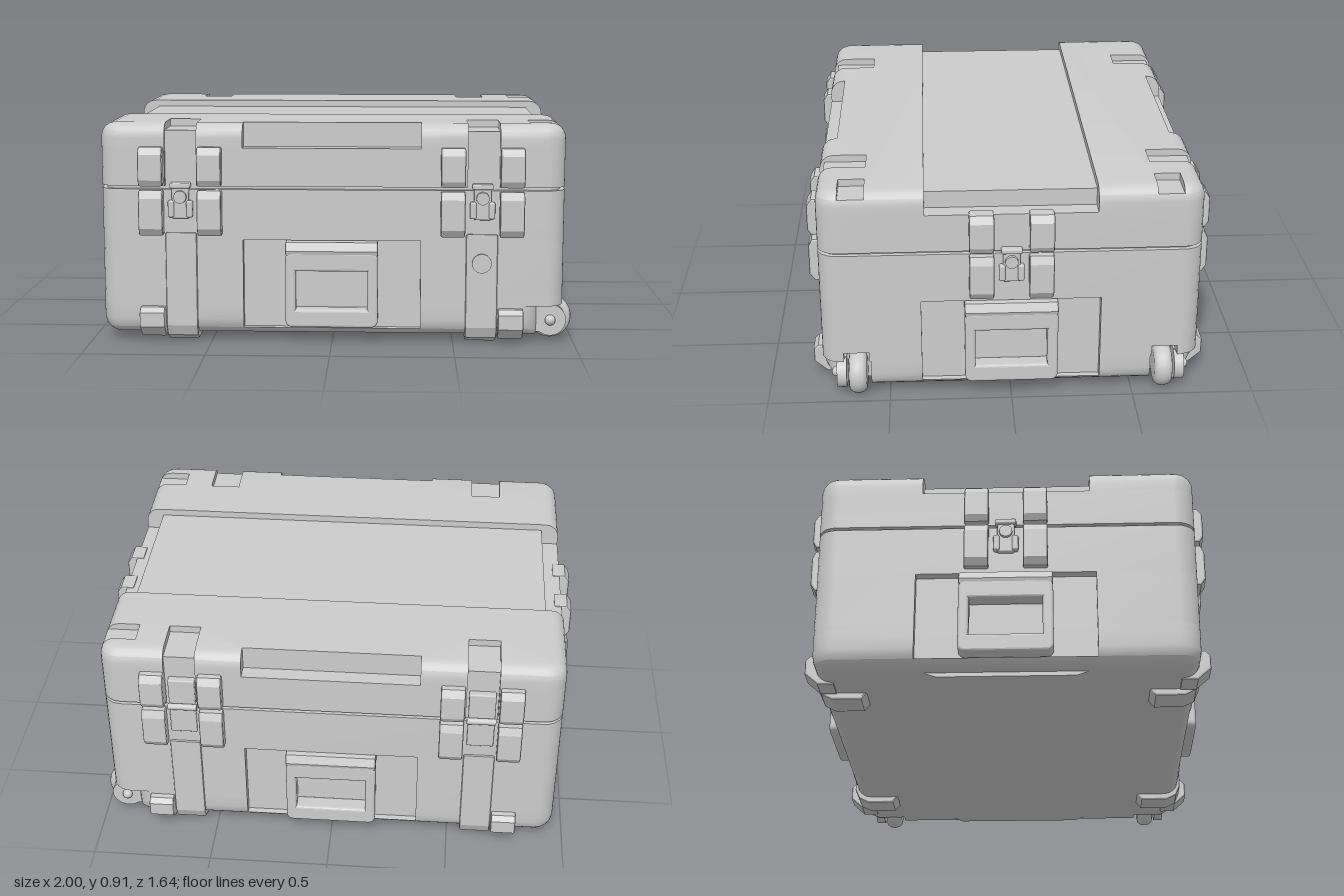
import * as THREE from 'three';
import { toCreasedNormals } from 'three/addons/utils/BufferGeometryUtils.js';
import { RoundedBoxGeometry } from 'three/addons/geometries/RoundedBoxGeometry.js';

const X = 0.955, Z = 0.775, R = 0.08; // half length, half width, plan corner radius
const mat = new THREE.MeshStandardMaterial({ color: 0xcccccc });

function add(parent, name, geo, x = 0, y = 0, z = 0) {
  const m = new THREE.Mesh(geo, mat);
  m.name = name;
  m.position.set(x, y, z);
  parent.add(m);
  return m;
}

// A rectangular step in one edge of an outline, from a to b, reaching depth d
const notch = (a, b, d) => [[a], [a, d], [b, d], [b]];

// Plan outline [x, z] of a rounded rectangle with notched edges, counterclockwise from above
function outline(x0, x1, z0, z1, rFront, rBack, e = {}) {
  const pts = [];
  const corner = (x, z, r, start) => {
    const n = r ? 6 : 0;
    for (let i = 0; i <= n; i++) {
      const a = start + (n ? i / n : 0) * Math.PI / 2;
      pts.push([x + r * Math.cos(a), z - r * Math.sin(a)]);
    }
  };
  const edge = (list = [], reverse, fn) => (reverse ? [...list].reverse() : list).forEach((p) => pts.push(fn(p)));
  edge(e.front, false, ([t, d]) => [t, d ?? z1]);
  corner(x1 - rFront, z1 - rFront, rFront, -Math.PI / 2);
  edge(e.right, true, ([t, d]) => [d ?? x1, t]);
  corner(x1 - rBack, z0 + rBack, rBack, 0);
  edge(e.back, true, ([t, d]) => [t, d === undefined ? z0 : -d]);
  corner(x0 + rBack, z0 + rBack, rBack, Math.PI / 2);
  edge(e.left, false, ([t, d]) => [d === undefined ? x0 : -d, t]);
  corner(x0 + rFront, z1 - rFront, rFront, Math.PI);
  return pts;
}

// Closed solid through outlines stacked at the given heights
function loft(ys, outlineAt) {
  const rings = ys.map((y) => outlineAt(y).map(([x, z]) => new THREE.Vector3(x, y, z)));
  const pos = [], tri = (...v) => v.forEach((p) => pos.push(p.x, p.y, p.z));
  for (let i = 0; i + 1 < rings.length; i++) {
    const lo = rings[i], hi = rings[i + 1];
    lo.forEach((a, j) => {
      const k = (j + 1) % lo.length;
      tri(a, lo[k], hi[k]);
      tri(a, hi[k], hi[j]);
    });
  }
  const cap = (ring, up) => THREE.ShapeUtils.triangulateShape(ring.map((p) => new THREE.Vector2(p.x, -p.z)), [])
    .forEach(([a, b, c]) => up ? tri(ring[a], ring[b], ring[c]) : tri(ring[c], ring[b], ring[a]));
  cap(rings[0], false);
  cap(rings.at(-1), true);
  const g = new THREE.BufferGeometry();
  g.setAttribute('position', new THREE.Float32BufferAttribute(pos, 3));
  return toCreasedNormals(g, 0.6);
}

// Extrusion of a [z, y] profile along x, centred on x = 0
function prism(profile, width, bevel = 0.008) {
  const s = new THREE.Shape(profile.map(([z, y]) => new THREE.Vector2(z, y)));
  const g = new THREE.ExtrudeGeometry(s, {
    depth: width - 2 * bevel, bevelEnabled: bevel > 0, bevelSize: bevel, bevelOffset: -bevel,
    bevelThickness: bevel, bevelSegments: 2,
  });
  return g.translate(0, 0, bevel - width / 2).rotateY(-Math.PI / 2);
}

// Edge rounding as an inset by height
const round = (t, r) => r * (1 - Math.sqrt(Math.max(0, 1 - Math.min(1, Math.max(0, t)) ** 2)));
const baseInset = (y) => round((0.1 - y) / 0.07, 0.068);
const lidInset = (y) => round((y - 0.85) / 0.06, 0.06);

function makeBase(g) {
  const grip = notch(-0.365, 0.365, Z - 0.04), sideGrip = notch(-0.365, 0.365, X - 0.04);
  const all = { front: grip, back: grip, left: sideGrip, right: sideGrip };
  const wheel = (s) => s > 0 ? notch(0.58, 0.685, 0.82) : notch(-0.685, -0.58, 0.82);
  const ring = (y, edges, x1 = X) => {
    const i = baseInset(y);
    return outline(-X + i, Math.min(x1, X - i), -Z + i, Z - i, R - i, R - i, edges);
  };
  // Lower right corners are cut away for the wheels
  const bump = (y, inner) => {
    const b = X - baseInset(y);
    return [[-0.575], [-0.575, b], ...inner.map(([t, d]) => [t, d ?? b]), [0.575, b], [0.575]];
  };
  add(g, 'baseFloor', loft([0.03, 0.034, 0.04, 0.05, 0.06], (y) => ring(y, { right: bump(y, []) }, 0.85)));
  add(g, 'baseLower', loft([0.06, 0.075, 0.1, 0.16], (y) => ring(y, { ...all, right: bump(y, sideGrip) }, 0.85)));
  add(g, 'baseWheelBand', loft([0.16, 0.2], (y) => ring(y, { ...all, right: [...wheel(-1), ...sideGrip, ...wheel(1)] })));
  add(g, 'baseMiddle', loft([0.2, 0.43], (y) => ring(y, all)));
  add(g, 'baseRim', loft([0.43, 0.64], (y) => ring(y)));
  add(g, 'seal', loft([0.62, 0.67], () => outline(-X + 0.02, X - 0.02, -Z + 0.02, Z - 0.02, 0.06, 0.06)));
  // Raised plate along the underside
  add(g, 'bottomPlate', prism([[-0.36, 0.04], [-0.28, 0.012], [0.28, 0.012], [0.36, 0.04]], 1.74, 0));
}

function makeLid(g) {
  const grooves = (d, mid) => [...notch(-0.685, -0.555, d), ...mid, ...notch(0.555, 0.685, d)];
  const label = notch(-0.365, 0.365, 0.71), channel = notch(-0.345, 0.345, 0.878);
  const ring = (y, edges) => {
    const i = lidInset(y);
    return outline(-X + i, X - i, -Z + i, Z - i, R - i, R - i, edges);
  };
  const low = grooves(0.755, []), high = grooves(0.755, label);
  add(g, 'lidWall', loft([0.652, 0.81], (y) => ring(y, { front: low, back: low })));
  add(g, 'lidShoulder', loft([0.81, 0.85, 0.865, 0.88],
    (y) => ring(y, { front: high, back: high, left: channel, right: channel })));
  // Raised stacking strips with strap grooves and wheel pockets
  for (const s of [1, -1]) {
    add(g, 'stackingStrip', loft([0.88, 0.89, 0.9, 0.906, 0.91], (y) => {
      const i = lidInset(y);
      const p = outline(-X + i, X - i, 0.345, Z - i, R - i, 0,
        { front: grooves(0.58, label), right: notch(0.58, 0.685, 0.81) });
      return s > 0 ? p : p.map(([x, z]) => [x, -z]).reverse();
    }));
  }
}

// Clasp or hinge between two pairs of guard ribs; local z = 0 is the case wall
function makeClasp(hinge) {
  const g = new THREE.Group();
  g.name = hinge ? 'hinge' : 'latch';
  for (const x of [-0.12, 0.12]) {
    add(g, 'lidRib', prism([[-0.03, 0.655], [0.03, 0.655], [0.045, 0.68], [0.045, 0.785], [0.025, 0.815], [-0.03, 0.815]], 0.1), x);
    add(g, 'baseRib', prism([[-0.03, 0.45], [0.025, 0.45], [0.045, 0.48], [0.045, 0.605], [0.03, 0.638], [-0.03, 0.638]], 0.1), x);
  }
  if (hinge) {
    add(g, 'hingeLeafUpper', new RoundedBoxGeometry(0.11, 0.12, 0.035, 2, 0.006), 0, 0.72, -0.008);
    add(g, 'hingeLeafLower', new RoundedBoxGeometry(0.11, 0.12, 0.035, 2, 0.006), 0, 0.575, -0.008);
    add(g, 'hingePin', new THREE.CylinderGeometry(0.014, 0.014, 0.12, 16).rotateZ(Math.PI / 2), 0, 0.646, 0.008);
  } else {
    add(g, 'latchPlate', new RoundedBoxGeometry(0.07, 0.14, 0.03, 2, 0.006), 0, 0.59, 0.002);
    for (const x of [-0.038, 0.038]) add(g, 'latchWing', new RoundedBoxGeometry(0.026, 0.07, 0.03, 2, 0.008), x, 0.56, 0.01);
    add(g, 'latchKnob', new THREE.CylinderGeometry(0.026, 0.028, 0.03, 24).rotateX(Math.PI / 2), 0, 0.61, 0.015);
    add(g, 'latchHook', new RoundedBoxGeometry(0.085, 0.022, 0.04, 2, 0.006), 0, 0.657, 0.008);
  }
  return g;
}

// Folding carry handle; local z = 0 is the case wall
function makeHandle() {
  const g = new THREE.Group();
  g.name = 'carryHandle';
  const rect = (C, w, y0, y1, r) => {
    const s = new C();
    s.moveTo(-w + r, y0).lineTo(w - r, y0).quadraticCurveTo(w, y0, w, y0 + r).lineTo(w, y1 - r)
      .quadraticCurveTo(w, y1, w - r, y1).lineTo(-w + r, y1).quadraticCurveTo(-w, y1, -w, y1 - r)
      .lineTo(-w, y0 + r).quadraticCurveTo(-w, y0, -w + r, y0);
    return s;
  };
  const shape = rect(THREE.Shape, 0.18, 0.08, 0.375, 0.02);
  shape.holes.push(rect(THREE.Path, 0.157, 0.135, 0.315, 0.008));
  add(g, 'handleFrame', new THREE.ExtrudeGeometry(shape,
    { depth: 0.05, bevelSize: 0.01, bevelThickness: 0.012, bevelSegments: 3 }), 0, 0, -0.03);
  add(g, 'handlePivot', prism([[-0.045, 0.37], [0.03, 0.37], [0.036, 0.39], [0.02, 0.425], [-0.045, 0.43]], 0.38));
  return g;
}

function makeWheel(z) {
  const g = new THREE.Group();
  g.name = 'wheel';
  g.position.set(0.91, 0.09, z);
  const profile = [[0, -0.036], [0.06, -0.038], [0.076, -0.034], [0.086, -0.02], [0.09, 0],
    [0.086, 0.02], [0.076, 0.034], [0.06, 0.038], [0, 0.036]].map((p) => new THREE.Vector2(...p));
  add(g, 'tyre', new THREE.LatheGeometry(profile, 36).rotateX(Math.PI / 2));
  const s = Math.sign(z);
  add(g, 'wheelCheek', new THREE.CylinderGeometry(0.066, 0.066, 0.04, 28).rotateX(Math.PI / 2), -0.005, 0, s * 0.066);
  add(g, 'cheekMount', new THREE.BoxGeometry(0.09, 0.12, 0.04), -0.045, 0.01, s * 0.066);
  add(g, 'axleCap', new THREE.SphereGeometry(0.022, 16, 10), -0.005, 0, s * 0.088);
  return g;
}

export function createModel() {
  const model = new THREE.Group();
  model.name = 'wheeledCase';
  makeBase(model);
  makeLid(model);

  // Fittings on the four walls: [name, turn, wall distance, clasp positions]
  const walls = [['front', 0, Z, [-0.62, 0.615]], ['right', Math.PI / 2, X, [0]],
    ['back', Math.PI, Z, [-0.615, 0.62]], ['left', -Math.PI / 2, X, [0]]];
  for (const [name, turn, dist, xs] of walls) {
    const wall = new THREE.Group();
    wall.name = name + 'Fittings';
    wall.rotation.y = turn;
    model.add(wall);
    const handle = makeHandle();
    handle.position.z = dist;
    wall.add(handle);
    for (const x of xs) {
      const clasp = makeClasp(name === 'back');
      clasp.position.set(x, 0, dist);
      wall.add(clasp);
      if (x === 0) continue;
      // Strap rib running down and under to a foot, with a bumper beside it
      add(wall, 'footRib', prism([[0.7, 0.46], [0.785, 0.46], [0.785, 0.07], [0.765, 0.025], [0.72, 0.002],
        [0.6, 0.002], [0.57, 0.04], [0.7, 0.045]], 0.13), x);
      add(wall, 'cornerBumper', prism([[0.7, 0.15], [0.8, 0.15], [0.82, 0.13], [0.82, 0.07], [0.765, 0.022],
        [0.7, 0.022]], 0.105), x + Math.sign(x) * 0.12);
    }
  }
  for (const z of [-0.63, 0.63]) model.add(makeWheel(z));
  // Pressure valve
  add(model, 'pressureValve', new THREE.CylinderGeometry(0.04, 0.04, 0.02, 28).rotateX(Math.PI / 2), 0.615, 0.34, 0.782);
  return model;
}
